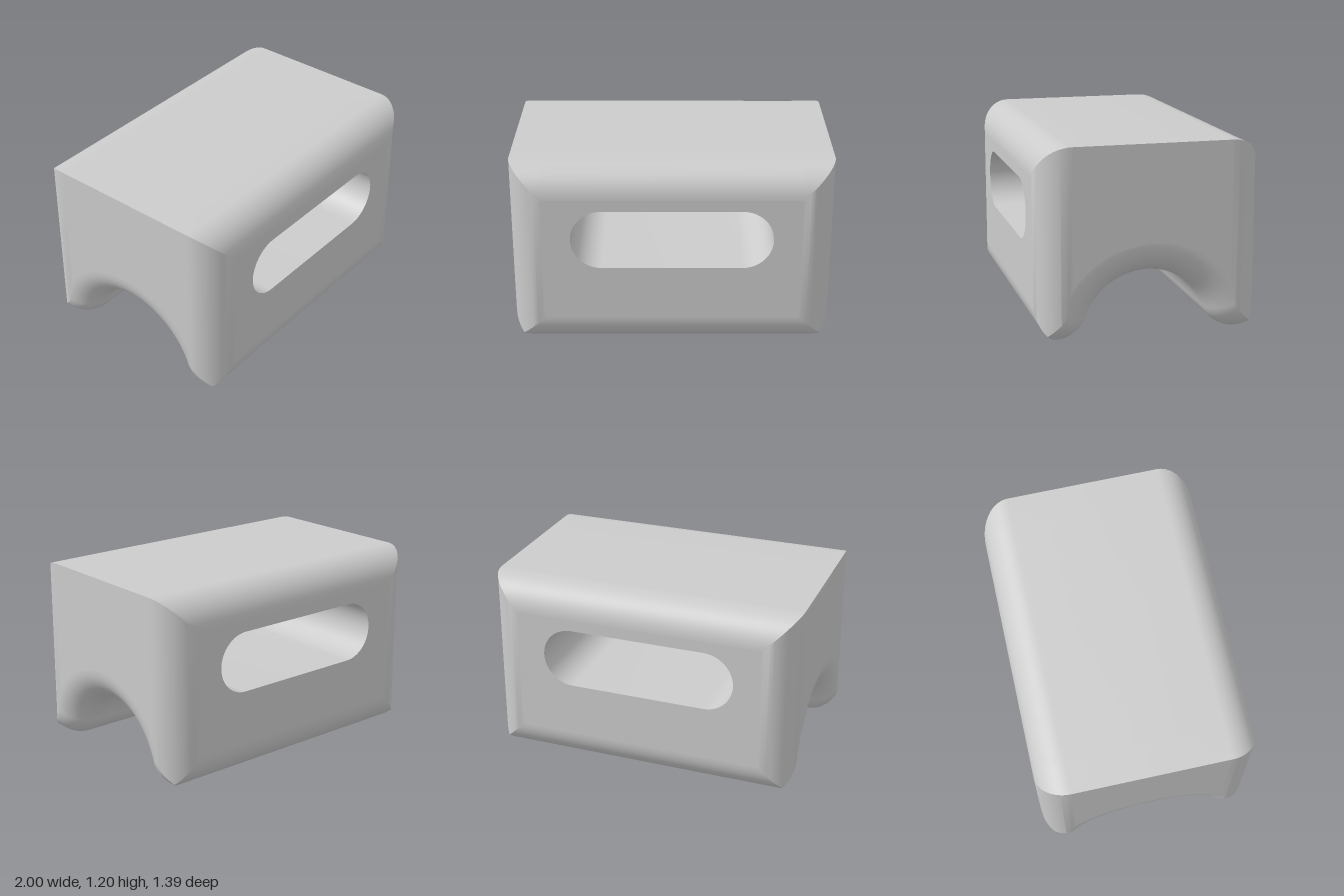
import * as THREE from 'three';
import { toCreasedNormals } from 'three/addons/utils/BufferGeometryUtils.js';

const HX = 0.995, HZ = 0.69, H = 1.2; // half width, half depth, height
const R = 0.2, NOTCH = 0.4;           // fillet radius, notch radius
const CZ = Math.sqrt((NOTCH + R) ** 2 - R * R); // centre of the fillet at the notch lip
const root = (v) => Math.sqrt(Math.max(0, v));

// Drop of the rounded long edges at depth z
const drop = (z) => R - root(R * R - Math.max(0, z - (HZ - R)) ** 2);

// Underside of the notch and its lip, inset by e
function notchY(z, e) {
  if (z <= (NOTCH + e) * CZ / (NOTCH + R)) return root((NOTCH + e) ** 2 - z * z);
  if (z < CZ) return R - root((R - e) ** 2 - (z - CZ) ** 2);
  return e;
}
const bottomY = (z, e) => Math.max(notchY(z, e), drop(z));

// Cross-section loop [z, y] with walls and notch inset by e
function section(e) {
  const zm = HZ - e;
  const zA = Math.min((NOTCH + e) * CZ / (NOTCH + R), zm);
  let lo = zA, hi = zm; // find where the lip meets the rounded outer edge
  for (let i = 0; i < 40; i++) {
    const mid = (lo + hi) / 2;
    if (notchY(mid, e) > drop(mid)) lo = mid; else hi = mid;
  }
  const zB = lo, half = [];
  const n = 16, sin = (t) => Math.sin(t * Math.PI / 2);
  const add = (z) => half.push([z, bottomY(z, e)]);
  for (let i = 0; i < n; i++) add(zA * sin(i / n));
  for (let i = 0; i < n; i++) add(zA + (zB - zA) * (1 - sin(1 - i / n)));
  for (let i = 0; i <= n; i++) add(zB + (zm - zB) * sin(i / n));
  const flat = Math.min(HZ - R, zm);
  for (let i = n; i >= 0; i--) {
    const z = flat + (zm - flat) * sin(i / n);
    half.push([z, H - drop(z)]);
  }
  half.push([0, H]);
  const mirrored = half.slice(1, -1).reverse().map(([z, y]) => [-z, y]);
  return half.concat(mirrored);
}

// Skin between closed rings of Vector3, leaving out quads that skip() accepts
function skin(rings, skip = () => false) {
  const pos = [];
  const tri = (a, b, c) => {
    if (new THREE.Triangle(a, b, c).getArea() > 1e-9) {
      for (const p of [a, b, c]) pos.push(p.x, p.y, p.z);
    }
  };
  for (let i = 0; i + 1 < rings.length; i++) {
    const p = rings[i], q = rings[i + 1];
    for (let j = 0; j < p.length; j++) {
      const k = (j + 1) % p.length;
      if (skip(p[j], p[k], q[j])) continue;
      tri(p[j], q[j], q[k]);
      tri(p[j], q[k], p[k]);
    }
  }
  const geo = new THREE.BufferGeometry();
  geo.setAttribute('position', new THREE.Float32BufferAttribute(pos, 3));
  return toCreasedNormals(geo, 0.4);
}

// Closed slot outline, counter-clockwise
function slotPoints(halfLength, radius, cy) {
  const pts = [], n = 32;
  for (const side of [1, -1]) {
    for (let i = 0; i <= n; i++) {
      const a = -Math.PI / 2 + Math.PI * i / n;
      pts.push(new THREE.Vector2(side * (halfLength - radius + radius * Math.cos(a)),
        cy + side * radius * Math.sin(a)));
    }
  }
  return pts;
}

export function createModel() {
  const group = new THREE.Group();
  const material = new THREE.MeshStandardMaterial({ color: 0xcccccc });
  const add = (name, geo) => {
    const mesh = new THREE.Mesh(geo, material);
    mesh.name = name;
    group.add(mesh);
    return mesh;
  };

  // Body: sections along x, shrinking through the end fillets
  const steps = 14, right = [];
  for (let i = 0; i <= steps; i++) {
    const a = Math.PI / 2 * i / steps;
    right.push({ x: HX - R + R * Math.sin(a), loop: section(R * (1 - Math.cos(a))) });
  }
  const left = right.map(({ x, loop }) => ({ x: -x, loop })).reverse();
  const rings = [...left, ...right].map(({ x, loop }) =>
    loop.map(([z, y]) => new THREE.Vector3(x, y, z)));
  const isPanel = (a, b, c) => c.x - a.x > 1 && Math.abs(a.y - b.y) > 0.5;
  add('body', skin(rings, isPanel));

  // Flat end faces
  const endLoop = right[steps].loop.filter(([z, y], i, all) => {
    const [pz, py] = all[(i + all.length - 1) % all.length];
    return Math.hypot(z - pz, y - py) > 1e-5;
  });
  for (const side of [1, -1]) {
    const shape = new THREE.Shape(endLoop.map(([z, y]) => new THREE.Vector2(-z, y)));
    const end = add(side > 0 ? 'leftEnd' : 'rightEnd', new THREE.ShapeGeometry(shape));
    end.rotation.y = side * Math.PI / 2;
    end.position.x = side * HX;
  }

  // Front and back panels with the slot opening
  const slot = slotPoints(0.622, 0.19, 0.737);
  const px = HX - R;
  for (const side of [1, -1]) {
    const shape = new THREE.Shape([[-px, R], [px, R], [px, H - R], [-px, H - R]]
      .map(([x, y]) => new THREE.Vector2(x, y)));
    shape.holes.push(new THREE.Path(slot));
    const panel = add(side > 0 ? 'frontPanel' : 'backPanel', new THREE.ShapeGeometry(shape));
    panel.rotation.y = side > 0 ? 0 : Math.PI;
    panel.position.z = side * HZ;
  }

  // Inner walls of the slot
  add('slotWall', skin([-HZ, HZ].map((z) => slot.map((p) => new THREE.Vector3(p.x, p.y, z)))));

  // The block sits turned by a hair
  group.rotation.y = -0.008;
  return group;
}
